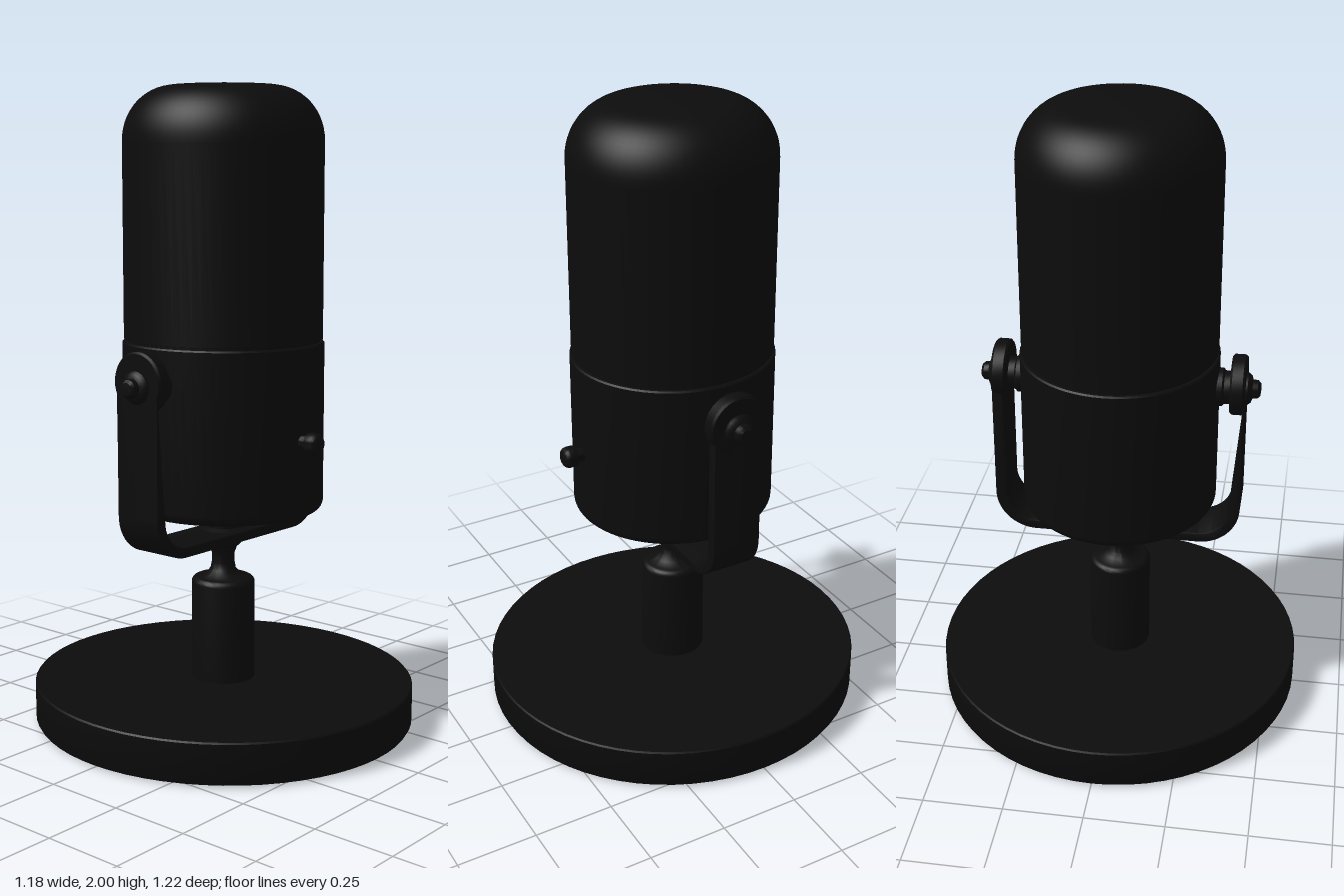
import * as THREE from 'three';
import { toCreasedNormals } from 'three/addons/utils/BufferGeometryUtils.js';

const black = new THREE.MeshStandardMaterial({ color: 0x0c0c0c });
black.name = 'matte black';

// Solid of revolution from [radius, height] pairs, sharp only at real edges
function lathe(name, points, segments = 64) {
  const profile = points.map(([r, h]) => new THREE.Vector2(r, h));
  const geometry = toCreasedNormals(new THREE.LatheGeometry(profile, segments), 0.6);
  const mesh = new THREE.Mesh(geometry, black);
  mesh.name = name;
  return mesh;
}

// Quarter-round profile points, from angle a to b in degrees
function arc(cr, ch, rr, rh, a, b, steps = 8) {
  return Array.from({ length: steps + 1 }, (_, i) => {
    const t = THREE.MathUtils.degToRad(a + ((b - a) * i) / steps);
    return [cr + rr * Math.cos(t), ch + rh * Math.sin(t)];
  });
}

// U-shaped strap: outer outline, then back along the inner one
function yokeGeometry() {
  const outer = 0.392, inner = 0.356, top = 1.125, low = 0.585, high = 0.618;
  const s = new THREE.Shape();
  s.moveTo(-outer, top);
  s.lineTo(-outer, low + 0.13);
  s.absarc(-outer + 0.13, low + 0.13, 0.13, Math.PI, Math.PI * 1.5, false);
  s.lineTo(outer - 0.13, low);
  s.absarc(outer - 0.13, low + 0.13, 0.13, Math.PI * 1.5, Math.PI * 2, false);
  s.lineTo(outer, top);
  s.lineTo(inner, top);
  s.lineTo(inner, high + 0.096);
  s.absarc(inner - 0.096, high + 0.096, 0.096, 0, -Math.PI / 2, true);
  s.lineTo(-inner + 0.096, high);
  s.absarc(-inner + 0.096, high + 0.096, 0.096, -Math.PI / 2, -Math.PI, true);
  s.closePath();
  const g = new THREE.ExtrudeGeometry(s, {
    depth: 0.152, bevelEnabled: true, bevelThickness: 0.005, bevelSize: 0.004,
    bevelOffset: -0.004, bevelSegments: 2, curveSegments: 12,
  });
  return toCreasedNormals(g.translate(0, 0, -0.076), 0.6);
}

export function createModel() {
  const model = new THREE.Group();
  model.name = 'microphone';

  // Slightly oval turned parts
  const turned = new THREE.Group();
  turned.name = 'turnedParts';
  turned.scale.x = 0.967;
  model.add(turned);

  turned.add(lathe('base', [
    [0, 0], [0.592, 0], [0.606, 0.006], [0.612, 0.016],
    [0.612, 0.13], [0.608, 0.135], [0, 0.135],
  ]));
  turned.add(lathe('post', [
    [0.102, 0.13], [0.102, 0.445], ...arc(0.082, 0.445, 0.02, 0.018, 0, 90, 5),
    [0.055, 0.473], [0.041, 0.488], [0.037, 0.51], [0.037, 0.54],
    [0.044, 0.56], [0.062, 0.577], [0.075, 0.587], [0.075, 0.59],
  ], 40));
  turned.add(lathe('bodyMount', [
    [0.075, 0.6], [0.075, 0.618], [0.055, 0.626], [0.055, 0.7],
  ], 32));

  // Body: lower shell, shadow groove, rounded grille
  turned.add(lathe('lowerBody', [
    [0, 0.69], [0.27, 0.69], ...arc(0.287, 0.722, 0.032, 0.032, -80, 0, 6),
    [0.319, 1.214], [0.315, 1.219], [0.306, 1.219],
  ]));
  turned.add(lathe('seam', [[0.306, 1.21], [0.306, 1.232]]));
  turned.add(lathe('grille', [
    [0.306, 1.225], [0.314, 1.227], [0.314, 1.82],
    ...arc(0.154, 1.83, 0.16, 0.166, 0, 90, 14), [0.1, 1.999], [0, 2],
  ]));

  // Swivel yoke
  const yoke = new THREE.Mesh(yokeGeometry(), black);
  yoke.name = 'yoke';
  model.add(yoke);

  // Pivots on both sides, each turned around the x axis
  for (const side of [1, -1]) {
    const pivot = new THREE.Group();
    pivot.name = side > 0 ? 'leftPivot' : 'rightPivot';
    pivot.position.y = 1.11;
    pivot.rotation.z = -side * Math.PI / 2;
    const eye = lathe('yokeEye', [
      [0, 0.346], [0.088, 0.346], [0.094, 0.352], [0.094, 0.385], [0.088, 0.392], [0, 0.392],
    ], 40);
    eye.position.x = -side * 0.012;
    pivot.add(eye);
    pivot.add(lathe('spacer', [
      [0.06, 0.28], [0.06, 0.32], [0.052, 0.326], [0.052, 0.352],
    ], 32));
    pivot.add(lathe('bolt', [
      [0.05, 0.39], [0.05, 0.398], [0.042, 0.408], [0.03, 0.412],
      [0.028, 0.428], [0.02, 0.436], [0, 0.438],
    ], 24));
    model.add(pivot);
  }

  // Front control knob
  const knob = lathe('frontKnob', [
    [0.022, 0.3], [0.022, 0.338], [0.031, 0.342], [0.033, 0.35],
    [0.033, 0.366], ...arc(0.015, 0.366, 0.018, 0.018, 0, 90, 5), [0, 0.385],
  ], 24);
  knob.position.set(-0.004, 0.932, 0);
  knob.rotation.x = Math.PI / 2;
  model.add(knob);

  return model;
}
